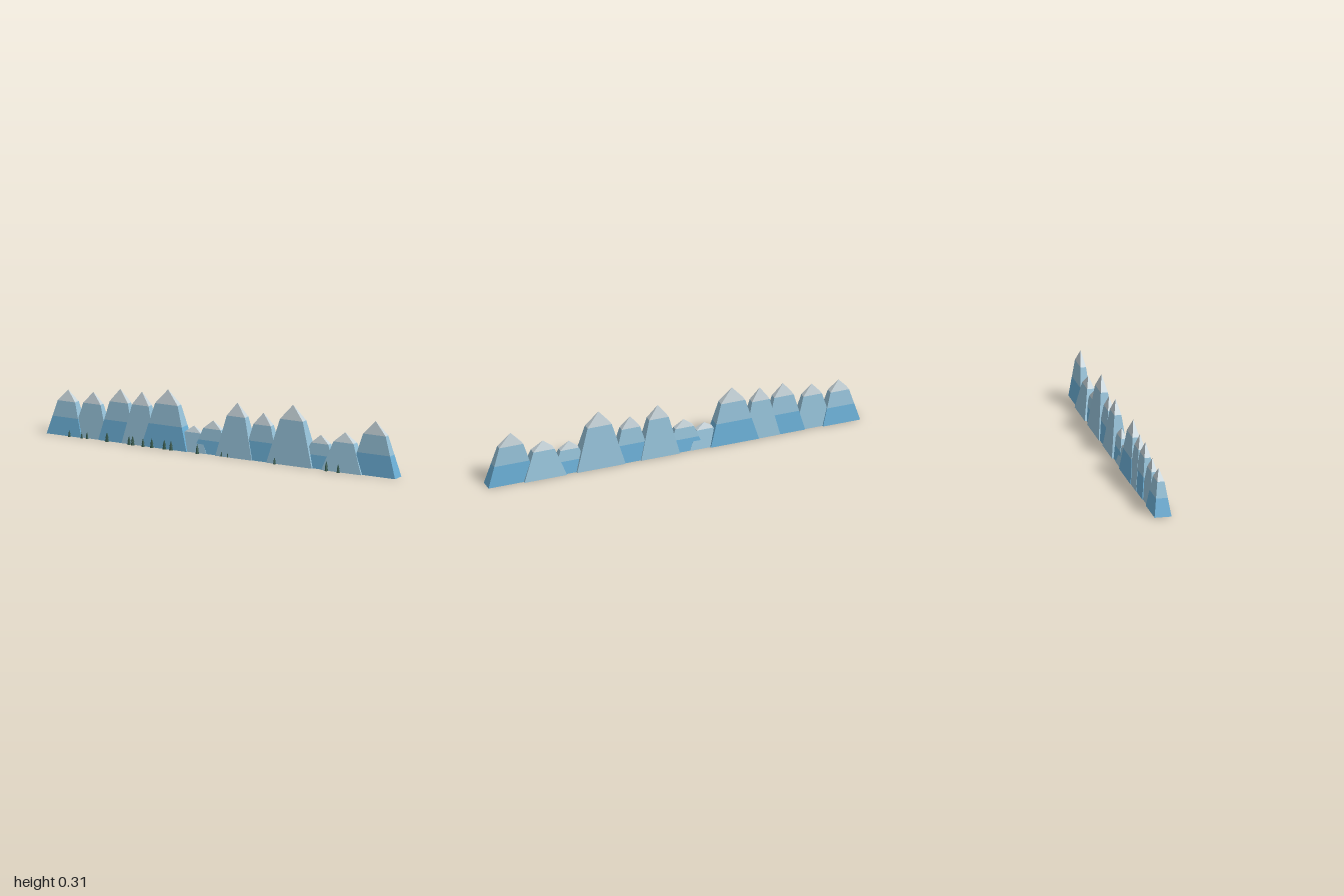
import * as THREE from 'three';

const flat = (name, color) => {
  const m = new THREE.MeshStandardMaterial({ color, flatShading: true });
  m.name = name;
  return m;
};

// Rectangular frustum from y0 to y1; half sizes [x, z] at the bottom, scaled by kx, kz at the top
function frustum(y0, y1, [bx, bz], [tx, tz]) {
  const g = new THREE.CylinderGeometry(Math.SQRT2, Math.SQRT2, y1 - y0, 4, 1);
  g.rotateY(Math.PI / 4);
  const p = g.attributes.position;
  for (let i = 0; i < p.count; i++) {
    const top = p.getY(i) > 0;
    p.setX(i, p.getX(i) * (top ? tx : bx));
    p.setZ(i, p.getZ(i) * (top ? tz : bz));
  }
  g.translate(0, (y0 + y1) / 2, 0);
  g.computeVertexNormals();
  return g;
}

export function createModel() {
  const group = new THREE.Group();
  group.name = 'mountainRange';
  const deepBlue = flat('deepBlue', 0x6bafd6);
  const paleBlue = flat('paleBlue', 0x95c1d8);
  const snow = flat('snow', 0xc6d3d9);
  const pine = flat('pine', 0x35584c);

  const add = (parent, name, geometry, material) => {
    const mesh = new THREE.Mesh(geometry, material);
    mesh.name = name;
    parent.add(mesh);
  };

  // Mountains: x, height, half width, half depth; every other one has a deep blue foot
  const peaks = [
    [-0.9, 0.23, 0.1, 0.044], [-0.755, 0.235, 0.1, 0.036], [-0.6, 0.27, 0.105, 0.04],
    [-0.475, 0.27, 0.095, 0.042], [-0.325, 0.3, 0.13, 0.044], [-0.175, 0.13, 0.09, 0.037],
    [-0.065, 0.17, 0.1, 0.034], [0.075, 0.28, 0.105, 0.043], [0.225, 0.245, 0.1, 0.038],
    [0.395, 0.307, 0.131, 0.044], [0.555, 0.17, 0.1, 0.034], [0.695, 0.2, 0.115, 0.044],
    [0.87, 0.28, 0.13, 0.033],
  ];
  const shoulder = 0.75, foot = 0.4;
  peaks.forEach(([x, h, w, d], i) => {
    const mountain = new THREE.Group();
    mountain.name = 'mountain' + (i + 1);
    mountain.position.set(x, 0, -0.008);
    group.add(mountain);
    const size = (t) => [w * (1 - 0.5 * t / shoulder), d * (1 - 0.58 * t / shoulder)];
    const start = i % 2 ? 0 : foot;
    if (start) add(mountain, 'foot', frustum(0, h * foot, size(0), size(foot)), deepBlue);
    add(mountain, 'slope', frustum(h * start, h * shoulder, size(start), size(shoulder)), paleBlue);
    add(mountain, 'snowCap', frustum(h * shoulder, h, size(shoulder), [0, 0]), snow);
  });

  // Pine trees along the front: x, height, z
  const trees = [
    [-0.865, 0.035, 0.043], [-0.795, 0.03, 0.041], [-0.765, 0.037, 0.04], [-0.65, 0.05, 0.04],
    [-0.522, 0.045, 0.042], [-0.5, 0.05, 0.044], [-0.44, 0.045, 0.045], [-0.39, 0.05, 0.044],
    [-0.32, 0.05, 0.04], [-0.28, 0.05, 0.043], [-0.13, 0.05, 0.041], [0.005, 0.027, 0.033],
    [0.04, 0.024, 0.032], [0.315, 0.035, 0.042], [0.612, 0.05, 0.039], [0.683, 0.045, 0.044],
  ];
  trees.forEach(([x, h, z], i) => {
    const tree = new THREE.Group();
    tree.name = 'tree' + (i + 1);
    tree.position.set(x, 0, z);
    tree.rotation.y = i * 1.3;
    group.add(tree);
    const lower = new THREE.CylinderGeometry(h * 0.08, h * 0.2, h * 0.55, 6).translate(0, h * 0.275, 0);
    const upper = new THREE.ConeGeometry(h * 0.17, h * 0.6, 6).translate(0, h * 0.7, 0);
    add(tree, 'lowerBranches', lower, pine);
    add(tree, 'upperBranches', upper, pine);
  });
  return group;
}
